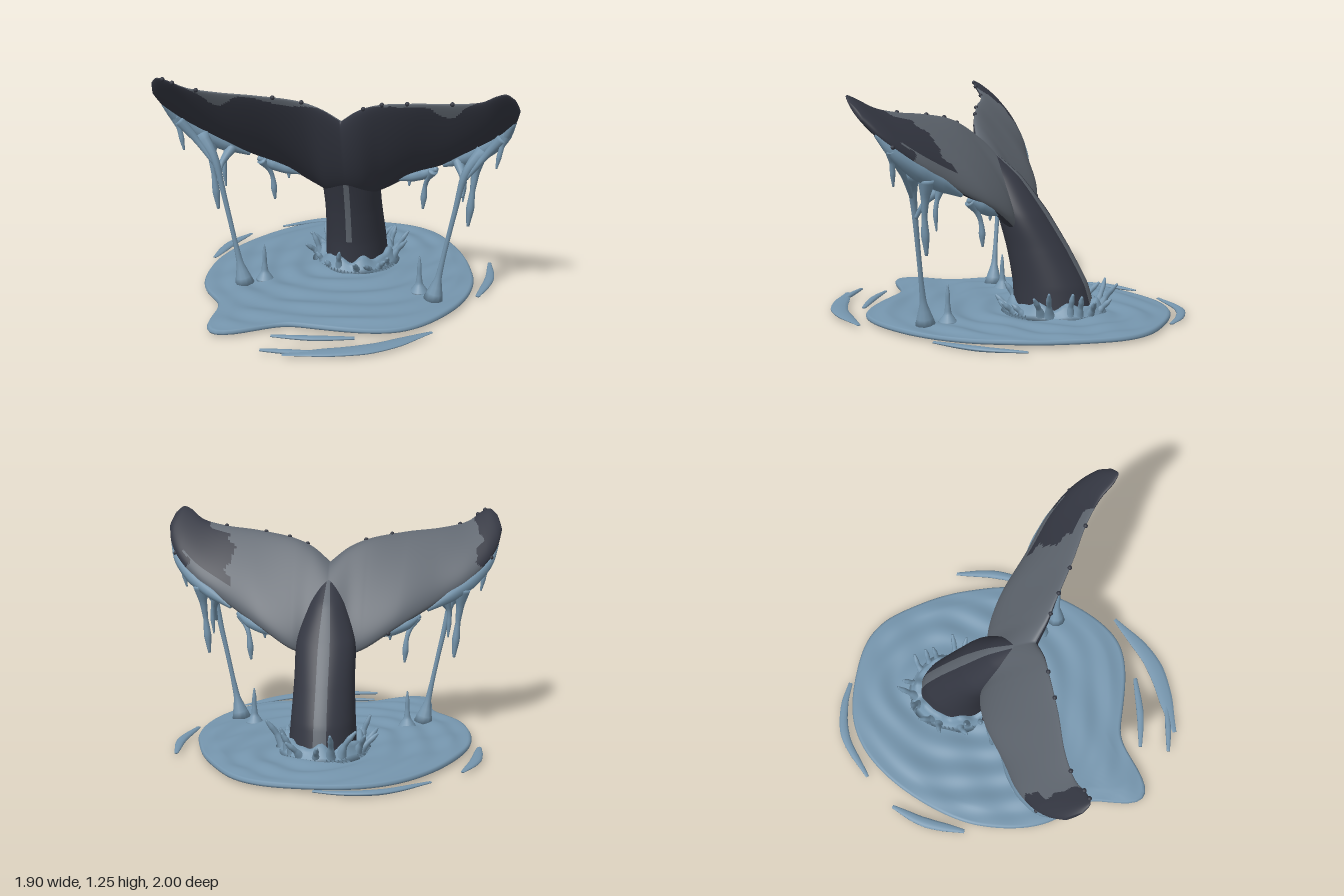
import * as THREE from 'three';

const mat = (name, color) => new THREE.MeshStandardMaterial({ name, color });
const V = (x, y, z) => new THREE.Vector3(x, y, z);
const spline = (points, closed = false) => new THREE.CatmullRomCurve3(points.map(p => V(...p)), closed);
const bump = (x, centre, width) => Math.exp(-(((x - centre) / width) ** 2));

// Small seeded random generator
function seeded(seed) {
  return () => (seed = (seed * 16807) % 2147483647) / 2147483647;
}

// Ring of n points, one for each angle around a section
const ringOf = (n, point) => Array.from({ length: n }, (_, j) => point(j / n * Math.PI * 2));

// Linear lookup in an evenly spaced list, t from 0 to 1
function sample(list, t) {
  const f = t * (list.length - 1);
  const i = Math.min(Math.floor(f), list.length - 2);
  return list[i] + (list[i + 1] - list[i]) * (f - i);
}

// Closed skin over a list of rings; pick() chooses the material of each face
function loft(name, rows, mats, pick = () => 0) {
  const n = rows[0].length;
  const pts = rows.flat();
  const buckets = mats.map(() => []);
  const centre = ring => ring.reduce((s, p) => s.add(p), V(0, 0, 0)).divideScalar(n);
  let volume = 0;
  const tri = (m, a, b, c) => {
    buckets[m].push(a, b, c);
    volume += pts[a].dot(V(0, 0, 0).crossVectors(pts[b], pts[c]));
  };
  const first = pts.push(centre(rows[0])) - 1;
  const last = pts.push(centre(rows[rows.length - 1])) - 1;
  const end = (rows.length - 1) * n;
  for (let j = 0; j < n; j++) {
    const k = (j + 1) % n;
    tri(0, first, k, j);
    tri(0, last, end + j, end + k);
    for (let i = 0; i < rows.length - 1; i++) {
      const a = i * n + j, b = i * n + k, c = b + n, d = a + n;
      const m = pick(pts[a].clone().add(pts[c]).multiplyScalar(0.5), j);
      tri(m, a, b, c);
      tri(m, a, c, d);
    }
  }
  const geo = new THREE.BufferGeometry().setFromPoints(pts);
  const index = [];
  buckets.forEach((b, m) => {
    if (volume < 0) for (let i = 0; i < b.length; i += 3) [b[i], b[i + 1]] = [b[i + 1], b[i]];
    geo.addGroup(index.length, b.length, m);
    for (const v of b) index.push(v);
  });
  geo.setIndex(index);
  geo.computeVertexNormals();
  const mesh = new THREE.Mesh(geo, mats.length > 1 ? mats : mats[0]);
  mesh.name = name;
  return mesh;
}

// Tapered tube through points, optionally flattened in height
function limb(name, points, radii, material, flat = 1) {
  const curve = spline(points), steps = 22;
  const { normals, binormals } = curve.computeFrenetFrames(steps);
  const rows = normals.map((normal, i) => {
    const p = curve.getPointAt(i / steps), r = sample(radii, i / steps);
    return ringOf(10, a => {
      const o = normal.clone().multiplyScalar(r * Math.cos(a)).addScaledVector(binormals[i], r * Math.sin(a));
      o.y *= flat;
      return o.add(p);
    });
  });
  return loft(name, rows, [material]);
}

export function createModel() {
  const group = new THREE.Group();
  const skin = mat('dark skin', 0x343742);
  const patch = mat('grey skin', 0x5f666f);
  const water = mat('water', 0x7595ad);
  const rand = seeded(77);

  // Tail stock: front z, back z and half width at even heights
  const stock = spline([[-0.1, -0.56, 0.185], [-0.09, -0.505, 0.172], [-0.055, -0.4, 0.162],
    [0, -0.275, 0.158], [0.085, -0.125, 0.1], [0.13, 0.11, 0.01]]);
  const stockRows = [];
  for (let i = 0; i <= 60; i++) {
    const { x: front, y: back, z: w } = stock.getPoint(i / 60);
    stockRows.push(ringOf(64, a =>
      V(w * Math.sin(a), 0.016 * i, (front + back) / 2 + (front - back) / 2 * Math.cos(a))));
  }
  group.add(loft('tailStock', stockRows, [skin, patch], (p, j) => {
    if (j >= 30 && j < 34) return 1;
    return (j === 0 || j === 63) && p.y > 0.2 && p.y < 0.6 ? 1 : 0;
  }));

  // Flukes: trailing and leading edge from the middle to the tip
  const trail = spline([[0, 0.97, 0.13], [0.1, 1.045, 0.18], [0.21, 1.09, 0.215], [0.42, 1.125, 0.28],
    [0.62, 1.145, 0.33], [0.76, 1.175, 0.39], [0.84, 1.225, 0.455], [0.885, 1.24, 0.47], [0.925, 1.21, 0.44]]);
  const lead = spline([[0, 0.5, -0.12], [0.1, 0.5, -0.12], [0.19, 0.53, -0.14], [0.36, 0.635, -0.1],
    [0.6, 0.77, 0.03], [0.76, 0.87, 0.11], [0.87, 0.97, 0.2], [0.925, 1.05, 0.28], [0.95, 1.13, 0.36]]);
  const flukeSides = 96;
  const flukeRows = [];
  for (let i = -120; i <= 120; i++) {
    const s = Math.abs(i) / 120, T = trail.getPoint(s), d = lead.getPoint(s).sub(T);
    const n = V(0, -d.z, d.y).normalize();
    const thick = 0.014 + 0.05 * Math.pow(1 - Math.pow(s, 2.2), 0.7) + 0.045 * bump(s, 0, 0.2);
    flukeRows.push(ringOf(flukeSides, a => {
      const c = (1 - Math.cos(a)) / 2, up = Math.sin(a) * (a < Math.PI ? 1 : 0.85);
      const p = T.clone().addScaledVector(d, c).addScaledVector(n, thick * up * (0.55 + 0.45 * c));
      if (i < 0) p.x *= -1;
      return p;
    }));
  }
  group.add(loft('flukes', flukeRows, [skin, patch], (p, j) => {
    const x = Math.abs(p.x), c = (1 - Math.cos((j + 0.5) / flukeSides * Math.PI * 2)) / 2;
    const wave = Math.sin(p.y * 37 + p.x * 9) * 0.02 + Math.sin(p.y * 83) * 0.01;
    if (j < flukeSides / 2) {
      const limit = p.x < 0 ? 0.82 : 0.56 + (c < 0.12 ? 0.16 : 0) + (c > 0.8 ? 0.26 : 0);
      return x < limit + wave ? 1 : 0;
    }
    // Worn patches along the trailing edge of the underside
    const worn = p.x > 0
      ? 0.17 * bump(x, 0.6, 0.08) + 0.04 * bump(x, 0.36, 0.16)
      : 0.17 * bump(x, 0.63, 0.08) + 0.06 * bump(x, 0.27, 0.12) + 0.03 * bump(x, 0.45, 0.15);
    return c < worn - 0.012 + wave * 0.5 * (worn > 0.03) ? 1 : 0;
  }));

  // Small beads along the fluke edges
  const bead = new THREE.SphereGeometry(0.012, 10, 8);
  for (let i = 0; i < 14; i++) {
    const m = new THREE.Mesh(bead, skin);
    m.name = 'skinBead';
    m.position.copy((i % 3 ? trail : lead).getPoint(0.15 + rand() * 0.65));
    if (i % 2) m.position.x *= -1;
    group.add(m);
  }

  // Rippled pool: radius every 30 degrees, plus one tongue at the front right
  const poolZ = -0.1;
  const reach = [0.71, 0.755, 0.825, 0.77, 0.79, 0.83, 0.79, 0.77, 0.83, 0.85, 0.82, 0.71];
  const rim = spline(reach.map((r, i) => [r * Math.cos(i * Math.PI / 6), 0, r * Math.sin(i * Math.PI / 6)]), true);
  const outline = rim.getPoints(15 * reach.length).slice(0, -1).map(p => {
    const a = Math.atan2(p.z, p.x);
    return p.multiplyScalar(1 + 0.35 * bump(a, 2.08, 0.18) + 0.012 * Math.sin(a * 9) * bump(a, -1.2, 1));
  });
  const poolRing = (k, height) => outline.map(o => V(o.x * k, height(o.x * k, poolZ + o.z * k), poolZ + o.z * k));
  const ripple = k => (x, z) => {
    const d = Math.hypot(x, z + 0.33), a = Math.atan2(z + 0.33, x);
    const wave = Math.sin(d * 36 + 2.2 * Math.sin(2 * a + 1) + 1.3 * Math.sin(5 * a) * d) + 0.6 * Math.sin(x * 13 + z * 21);
    return 0.036 + Math.min(1, (1 - k) * 8) * (0.006 * wave + 0.007);
  };
  const poolRows = [[0.01, 0.009], [0.97, 0.009], [0.995, 0.014], [1, 0.025]].map(([k, y]) => poolRing(k, () => y));
  for (let i = 0; i <= 70; i++) {
    const k = 0.99 - 0.98 * i / 70;
    poolRows.push(poolRing(k, ripple(k)));
  }
  group.add(loft('pool', poolRows, [water]));

  // Loose crescents of water lying around the pool: half width, then x and z of the path
  const crescent = (w, ...path) => group.add(limb('rippleCrescent', path.map(([x, z]) => [x, 0.016, z]),
    [0.01, w * 0.8, w, w * 0.85, 0.012], water, 0.012 / w));
  crescent(0.027, [-0.57, -0.78], [-0.34, -0.945], [-0.15, -0.98], [-0.01, -0.965]);
  crescent(0.03, [-0.73, -0.61], [-0.8, -0.42], [-0.83, -0.18]);
  crescent(0.027, [0.77, -0.42], [0.79, -0.18], [0.75, 0.08]);
  crescent(0.05, [0.57, 0.58], [0.3, 0.83], [-0.11, 0.985]);
  crescent(0.022, [-0.22, 0.79], [-0.02, 0.775], [0.2, 0.73]);
  crescent(0.018, [-0.23, 0.955], [-0.08, 0.945], [0.05, 0.925]);

  // Splash collar around the stock
  const collar = ([k, y, wobble]) => ringOf(72, a =>
    V(0.19 * k * Math.cos(a), y + wobble * (Math.sin(a * 7) + 0.7 * Math.sin(a * 11 + 1)), -0.32 + 0.225 * k * Math.sin(a)));
  group.add(loft('splashCollar', [[0.9, 0.03, 0], [1.35, 0.035, 0], [1.2, 0.055, 0.004],
    [1.12, 0.09, 0.012], [1.05, 0.105, 0.016], [0.93, 0.1, 0.012]].map(collar), [water]));

  // Splash fingers leaning outwards
  const fingers = 19;
  for (let i = 0; i < fingers; i++) {
    const a = (i + rand() * 0.8) / fingers * Math.PI * 2, out = 0.05 + rand() * 0.06, up = 0.09 + rand() * 0.11;
    const turn = (rand() - 0.5) * 0.4;
    const at = (o, y, t) => [(0.2 + o) * Math.cos(a + t), y, -0.32 + (0.235 + o) * Math.sin(a + t)];
    group.add(limb('splashFinger', [at(0, 0.035, 0), at(out * 0.5, up * 0.65, turn * 0.3), at(out, up, turn)],
      [0.04, 0.024, 0.014, 0.015, 0.006], water));
  }

  // Water running off both flukes: radii, then the path on the left side
  const run = (name, radii, ...path) => {
    for (const side of [1, -1]) group.add(limb(name, path.map(([x, y, z]) => [x * side, y, z]), radii, water));
  };
  run('outerFilm', [0.012, 0.034, 0.045, 0.04, 0.012], [0.92, 1.06, 0.3], [0.87, 0.965, 0.23], [0.77, 0.87, 0.15], [0.54, 0.73, 0.01]);
  run('innerFilm', [0.012, 0.032, 0.03, 0.01], [0.5, 0.7, -0.01], [0.42, 0.655, -0.05], [0.27, 0.6, -0.1]);
  run('longStream', [0.04, 0.024, 0.016, 0.014, 0.013, 0.013, 0.018, 0.055], [0.76, 0.87, 0.18], [0.68, 0.76, 0.215], [0.625, 0.53, 0.22], [0.525, 0.04, 0.22]);
  run('streamBranch', [0.03, 0.018, 0.012], [0.86, 0.96, 0.24], [0.78, 0.86, 0.22], [0.68, 0.73, 0.22]);
  run('streamBranch', [0.03, 0.016, 0.01], [0.62, 0.78, 0.08], [0.66, 0.7, 0.16], [0.66, 0.62, 0.21]);
  run('outerDrip', [0.03, 0.013, 0.014, 0.005], [0.88, 0.98, 0.24], [0.855, 0.9, 0.245], [0.835, 0.8, 0.25]);
  run('middleDrip', [0.045, 0.022, 0.014, 0.022, 0.008], [0.73, 0.83, 0.12], [0.71, 0.65, 0.14], [0.69, 0.44, 0.14]);
  run('shortDrip', [0.028, 0.012, 0.013, 0.004], [0.64, 0.79, 0.08], [0.66, 0.68, 0.1], [0.655, 0.56, 0.1]);
  run('innerDrip', [0.028, 0.014, 0.012, 0.018, 0.006], [0.48, 0.69, -0.01], [0.435, 0.6, -0.05], [0.42, 0.45, -0.06]);
  run('smallDrip', [0.022, 0.013, 0.005], [0.36, 0.64, -0.08], [0.345, 0.61, -0.075], [0.34, 0.575, -0.07]);
  run('poolSpike', [0.055, 0.02, 0.013, 0.012, 0.004], [0.435, 0.035, 0.13], [0.435, 0.12, 0.13], [0.435, 0.24, 0.13]);
  return group;
}
